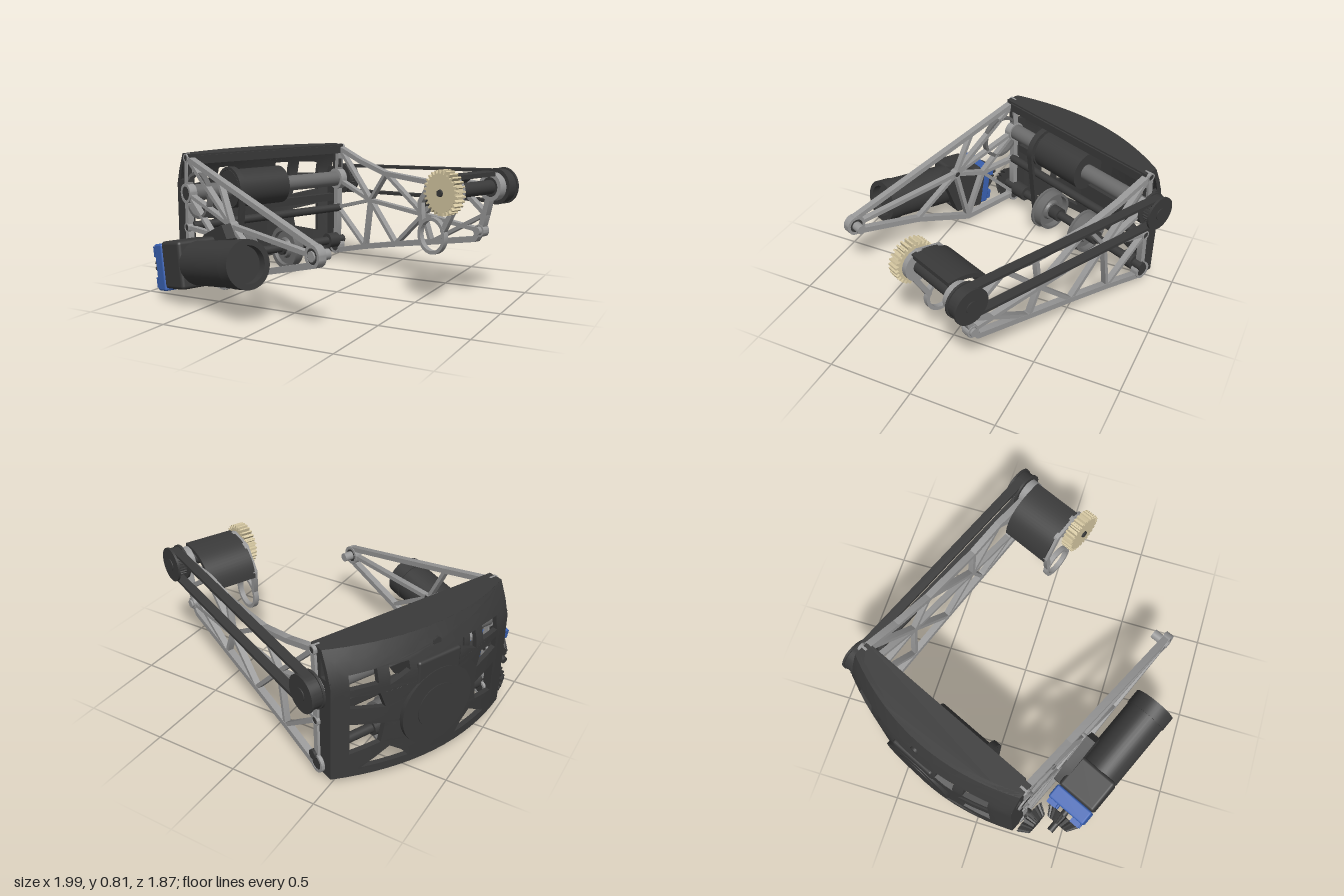
import * as THREE from 'three';
import { toCreasedNormals } from 'three/addons/utils/BufferGeometryUtils.js';
import { RoundedBoxGeometry } from 'three/addons/geometries/RoundedBoxGeometry.js';

const paint = (color) => new THREE.MeshStandardMaterial({ color, side: THREE.DoubleSide });
const DARK = paint(0x3a3a3a), MID = paint(0x6c6c6c), GREY = paint(0x999999), GOLD = paint(0xd6c8a2), BLUE = paint(0x3a62b4);
const V2 = (p) => new THREE.Vector2(p[0], p[1]);

function add(parent, name, geo, mat, x = 0, y = 0, z = 0) {
  const mesh = new THREE.Mesh(geo, mat);
  mesh.name = name;
  mesh.position.set(x, y, z);
  parent.add(mesh);
  return mesh;
}
const box = (parent, name, mat, w, h, d, x, y, z) => add(parent, name, new THREE.BoxGeometry(w, h, d), mat, x, y, z);

// Cylinder lying along z from z0 to z1
function rod(parent, name, mat, r, x, y, z0, z1, sides = 32) {
  const geo = new THREE.CylinderGeometry(r, r, Math.abs(z1 - z0), sides).rotateX(Math.PI / 2);
  return add(parent, name, geo, mat, x, y, (z0 + z1) / 2);
}
const extrude = (shape, depth) => toCreasedNormals(
  new THREE.ExtrudeGeometry(shape, { depth, curveSegments: 20, bevelEnabled: false }), 0.6);

// Flat ring about z
function ring(parent, name, mat, R, r, x, y, z, depth) {
  const s = new THREE.Shape().absarc(0, 0, R, 0, Math.PI * 2);
  s.holes.push(new THREE.Path().absarc(0, 0, r, 0, Math.PI * 2));
  return add(parent, name, extrude(s, depth), mat, x, y, z);
}
// Long round-ended outline around two points
function stadium(Type, a, b, ra, rb = ra) {
  const t = Math.atan2(b[1] - a[1], b[0] - a[0]);
  const k = Math.acos((ra - rb) / Math.hypot(b[0] - a[0], b[1] - a[1]));
  const s = new Type();
  s.absarc(a[0], a[1], ra, t + k, t - k + Math.PI * 2);
  s.absarc(b[0], b[1], rb, t - k, t + k);
  s.closePath();
  return s;
}
function belt(parent, name, a, b, ra, rb, z, depth) {
  const s = stadium(THREE.Shape, a, b, ra, rb);
  s.holes.push(stadium(THREE.Path, a, b, ra - 0.018, rb - 0.018));
  add(parent, name, extrude(s, depth), DARK, 0, 0, z);
}
function gear(teeth, R, root, bore, depth, taper = 0) {
  const pts = [];
  for (let i = 0; i < teeth; i++) {
    [[0, root], [0.28, root], [0.4, R], [0.75, R], [0.9, root]].forEach(([f, r]) => {
      const a = ((i + f) / teeth) * Math.PI * 2;
      pts.push(new THREE.Vector2(Math.cos(a) * r, Math.sin(a) * r));
    });
  }
  const s = new THREE.Shape(pts);
  s.holes.push(new THREE.Path().absarc(0, 0, bore, 0, Math.PI * 2));
  const geo = new THREE.ExtrudeGeometry(s, { depth, bevelEnabled: false, curveSegments: 20 });
  const p = geo.attributes.position;
  for (let i = 0; i < p.count; i++) {
    const k = 1 - (taper * p.getZ(i)) / depth;
    p.setXY(i, p.getX(i) * k, p.getY(i) * k);
  }
  geo.computeVertexNormals();
  return geo;
}

// Open side plate: struts between named nodes, with bosses at the pivots
function truss(parent, name, z, nodes, struts, bosses) {
  const g = new THREE.Group();
  g.name = name;
  parent.add(g);
  struts.forEach(([path, w]) => {
    for (let i = 0; i + 1 < path.length; i++) {
      const s = stadium(THREE.Shape, nodes[path[i]], nodes[path[i + 1]], w / 2);
      const d = w > 0.027 ? 0.04 : 0.036;
      add(g, 'strut', extrude(s, d), GREY, 0, 0, z - d / 2);
    }
  });
  bosses.forEach(([n, R]) => {
    ring(g, 'boss', GREY, R, R * 0.7, nodes[n][0], nodes[n][1], z - 0.024, 0.048);
    rod(g, 'bearing', DARK, R * 0.7, nodes[n][0], nodes[n][1], z - 0.021, z + 0.021);
  });
}

// Cuts long edges so that a flat sheet can bend smoothly
function subdivide(geo, limit) {
  const p = geo.toNonIndexed().attributes.position, out = [];
  const split = (a, b, c) => {
    const d = [a.distanceTo(b), b.distanceTo(c), c.distanceTo(a)];
    const m = Math.max(...d);
    if (m < limit) { out.push(a, b, c); return; }
    if (m === d[1]) [a, b, c] = [b, c, a];
    else if (m === d[2]) [a, b, c] = [c, a, b];
    const mid = a.clone().add(b).multiplyScalar(0.5);
    split(a, mid, c);
    split(mid, b, c);
  };
  const at = (i) => new THREE.Vector3().fromBufferAttribute(p, i);
  for (let i = 0; i < p.count; i += 3) split(at(i), at(i + 1), at(i + 2));
  return new THREE.BufferGeometry().setFromPoints(out);
}
const Z0 = -0.57, Z1 = 0.605;
const bow = (z, y) => -0.942 + 0.13 * ((z - 0.018) / 0.59) ** 2 + Math.max(0, (y - 0.62) / 0.19) ** 1.3 * 0.075;

function addCover(parent) {
  const g = new THREE.Group();
  g.name = 'rearCover';
  parent.add(g);
  // Bowed wall with mirrored windows
  const wall = new THREE.Shape([[Z0, 0.05], [Z1, 0.05], [Z1, 0.81], [Z0, 0.81]].map(V2));
  const windows = [
    [[0.34, 0.61], [0.48, 0.6], [0.48, 0.68], [0.34, 0.69]],
    [[0.17, 0.64], [0.28, 0.59], [0.28, 0.69], [0.17, 0.69]],
    [[0.3, 0.46], [0.48, 0.49], [0.48, 0.56], [0.33, 0.55]],
    [[0.32, 0.24], [0.48, 0.2], [0.48, 0.39], [0.3, 0.36]],
    [[0.16, 0.1], [0.42, 0.1], [0.27, 0.2], [0.2, 0.15]],
  ];
  [1, -1].forEach((m) => windows.forEach((w) => wall.holes.push(new THREE.Path(w.map(([z, y]) => new THREE.Vector2(z * m, y))))));
  const geo = subdivide(new THREE.ExtrudeGeometry(wall, { depth: 0.03, bevelEnabled: false }), 0.1);
  const p = geo.attributes.position;
  for (let i = 0; i < p.count; i++) {
    const z = p.getX(i), y = p.getY(i);
    p.setXYZ(i, bow(z, y) + 0.03 - p.getZ(i), y, z);
  }
  add(g, 'bowedWall', toCreasedNormals(geo, 0.6), DARK);
  // Lid
  const pts = [[-0.65, Z0], [-0.65, Z1]];
  for (let i = 0; i <= 24; i++) {
    const z = Z1 + ((Z0 - Z1) * i) / 24;
    pts.push([bow(z, 0.81), z]);
  }
  add(g, 'lid', extrude(new THREE.Shape(pts.map(V2)), 0.025).rotateX(Math.PI / 2), DARK, 0, 0.81, 0);
  box(g, 'lidRail', DARK, 0.03, 0.05, 1.1, -0.655, 0.775, 0.01);
  // End cheeks
  [Z0 + 0.012, Z1 - 0.012].forEach((z) => {
    box(g, 'cheek', DARK, 0.11, 0.6, 0.024, -0.752, 0.35, z);
    box(g, 'cheekTop', DARK, 0.06, 0.15, 0.024, -0.7, 0.725, z);
  });
  // Round hub, hatch and keyhole, almost flush with the outside
  const disc = (name, R, t, y, z, x) => add(g, name, new THREE.CylinderGeometry(R, R, t, 48).rotateZ(Math.PI / 2), DARK, x, y, z);
  disc('hub', 0.23, 0.04, 0.36, 0.01, -0.926);
  disc('hubCap', 0.13, 0.04, 0.36, 0.01, -0.93);
  add(g, 'hatch', new RoundedBoxGeometry(0.04, 0.14, 0.28, 3, 0.015), DARK, -0.922, 0.6, 0.01);
  disc('keyhole', 0.025, 0.02, 0.73, 0.01, -0.899);
}

export function createModel() {
  const model = new THREE.Group();
  const body = new THREE.Group();
  body.name = 'intakeArm';
  body.rotation.y = (-24 * Math.PI) / 180;
  model.add(body);
  addCover(body);

  // Side plates
  truss(body, 'frontPlate', 0.59, {
    a: [-0.69, 0.785], b: [-0.7, 0.57], c: [-0.7, 0.36], f: [-0.7, 0.08], e: [-0.29, 0.07],
    d: [-0.2, 0.44], t: [0.57, 0.4], u: [0.57, 0.445], l: [0.57, 0.355], h: [-0.42, 0.36], k: [-0.33, 0.686], m: [0.12, 0.235],
  }, [
    [['a', 'b', 'c', 'f', 'e', 'm', 'l'], 0.034], [['a', 'k', 'u'], 0.03],
    [['a', 'd', 't'], 0.026], [['b', 'd', 'm'], 0.022], [['c', 'h', 'd'], 0.026], [['h', 'e', 'd'], 0.026],
    [['f', 'h'], 0.022], [['k', 'd'], 0.022], [['b', 'h'], 0.022],
  ], [['b', 0.06], ['t', 0.06], ['c', 0.028], ['f', 0.05], ['a', 0.026], ['d', 0.026]]);
  ring(body, 'frontBearingRing', MID, 0.14, 0.122, -0.58, 0.57, 0.572, 0.034);

  truss(body, 'backPlate', -0.565, {
    a: [-0.68, 0.785], p: [-0.7, 0.57], q: [-0.7, 0.37], f: [-0.71, 0.1], g: [-0.68, 0.07],
    b: [-0.45, 0.71], c: [-0.2, 0.65], d: [0.18, 0.635], e: [0.4, 0.67], s: [0.69, 0.66],
    r: [0.65, 0.5], v: [0.62, 0.4], w: [0.58, 0.345], m: [-0.1, 0.205], n: [0.22, 0.27], o: [-0.4, 0.14], x: [-0.35, 0.46], y: [0.15, 0.43],
  }, [
    [['a', 'p', 'q', 'f', 'g', 'o', 'm', 'n', 'w', 'v', 'r', 's'], 0.034], [['a', 'b', 'c', 'd', 'e', 's'], 0.03],
    [['p', 'x', 'y', 'v'], 0.024], [['a', 'x', 'm', 'y', 'e'], 0.024], [['q', 'x'], 0.022], [['q', 'o', 'x', 'c', 'y', 'd'], 0.022],
    [['y', 'n', 'r'], 0.022], [['e', 'r'], 0.026],
  ], [['p', 0.07], ['s', 0.08], ['v', 0.036], ['f', 0.055], ['a', 0.026], ['q', 0.028]]);

  // Long drive belt with its two pulleys
  const low = [-0.7, 0.57], high = [0.69, 0.66];
  belt(body, 'driveBelt', low, high, 0.095, 0.095, -0.655, 0.055);
  [low, high].forEach(([x, y]) => {
    add(body, 'pulley', gear(24, 0.078, 0.07, 0.02, 0.06), DARK, x, y, -0.66);
    [-0.668, -0.602].forEach((z) => rod(body, 'pulleyFlange', DARK, 0.103, x, y, z, z + 0.013, 40));
    rod(body, 'pulleyHub', DARK, 0.035, x, y, -0.673, -0.58);
  });

  // Upper shaft, toothed wheel and curved guard
  rod(body, 'upperShaft', DARK, 0.04, 0.69, 0.66, -0.6, -0.22);
  rod(body, 'shaftTip', DARK, 0.02, 0.69, 0.66, -0.22, -0.14, 6);
  add(body, 'toothedWheel', gear(28, 0.125, 0.105, 0.02, 0.065), GOLD, 0.69, 0.66, -0.215);
  const guard = new THREE.Shape().moveTo(0.73, 0.75);
  guard.bezierCurveTo(0.6, 0.76, 0.46, 0.72, 0.44, 0.55);
  guard.lineTo(0.465, 0.55);
  guard.bezierCurveTo(0.48, 0.69, 0.6, 0.735, 0.73, 0.725);
  add(body, 'guard', extrude(guard, 0.3), DARK, 0, 0, -0.54);
  ring(body, 'bracketRing', GREY, 0.105, 0.085, 0.555, 0.4, -0.25, 0.03);
  const arm = (a, b) => add(body, 'bracketArm', extrude(stadium(THREE.Shape, a, b, 0.015), 0.028), GREY, 0, 0, -0.25);
  [[[0.47, 0.45], [0.46, 0.58]], [[0.46, 0.58], [0.55, 0.71]], [[0.55, 0.71], [0.69, 0.74]], [[0.64, 0.44], [0.73, 0.6]]].forEach(([a, b]) => arm(a, b));
  ring(body, 'bracketBearing', GREY, 0.09, 0.04, 0.69, 0.66, -0.25, 0.03);

  // Pivot pins
  rod(body, 'frontPivotPin', GREY, 0.028, 0.57, 0.4, 0.51, 0.62);
  rod(body, 'backPivotPin', GREY, 0.024, 0.62, 0.4, -0.6, -0.52);

  // Cross shafts between the plates
  rod(body, 'lowerAxle', DARK, 0.028, -0.69, 0.145, -0.6, 0.68);
  rod(body, 'crossBar', DARK, 0.026, -0.68, 0.37, -0.56, 0.58);
  box(body, 'innerBeam', DARK, 0.04, 0.05, 1.1, -0.74, 0.44, 0.01);
  rod(body, 'upperTube', MID, 0.05, -0.7, 0.57, -0.56, -0.08);
  rod(body, 'upperSpacer', MID, 0.05, -0.7, 0.57, 0.3, 0.58);
  rod(body, 'motorDrum', DARK, 0.12, -0.71, 0.57, -0.08, 0.27, 40);
  belt(body, 'innerBelt', [-0.7, 0.57], [-0.69, 0.145], 0.14, 0.07, 0.27, 0.04);
  rod(body, 'innerPulley', DARK, 0.12, -0.7, 0.57, 0.27, 0.31, 40);
  [[-0.54, -0.46], [0.44, 0.54]].forEach(([a, b]) => rod(body, 'axleCollar', DARK, 0.05, -0.69, 0.145, a, b));

  // Cupped wheels on the lower axle
  const cup = [[0.03, -0.02], [0.06, -0.02], [0.07, 0], [0.108, 0], [0.112, -0.035], [0.128, -0.035], [0.13, 0.025], [0.142, 0.028], [0.142, 0.04], [0.112, 0.04], [0.108, 0.018], [0.07, 0.018], [0.06, 0.04], [0.03, 0.04]];
  [0.2, -0.13].forEach((z) => {
    const geo = toCreasedNormals(new THREE.LatheGeometry(cup.map(V2), 40).rotateX(Math.PI / 2), 0.5);
    add(body, 'cuppedWheel', geo, MID, -0.69, 0.143, z);
    rod(body, 'wheelSleeve', DARK, 0.045, -0.69, 0.143, z - 0.09, z + 0.06);
  });

  // Tilted front motor with gearbox
  const motor = new THREE.Group();
  motor.name = 'frontMotor';
  motor.position.set(-0.25, 0.245, 0.78);
  motor.rotation.z = 0.16;
  body.add(motor);
  const can = (name, r, x0, x1) => add(motor, name, new THREE.CylinderGeometry(r, r, x1 - x0, 40).rotateZ(Math.PI / 2), DARK, (x0 + x1) / 2);
  can('motorCan', 0.126, 0, 0.46);
  can('motorShaft', 0.02, -0.44, 0);
  ring(motor, 'motorCap', DARK, 0.131, 0.1, 0.42, 0, 0, 0.09).rotation.y = Math.PI / 2;
  add(motor, 'gearbox', new RoundedBoxGeometry(0.21, 0.27, 0.25, 3, 0.02), DARK, -0.1, 0, 0);
  const mount = new THREE.Shape([[-0.2, -0.13], [0, -0.13], [0.14, 0.12], [0.1, 0.2], [-0.1, 0.15], [-0.2, 0.1]].map(V2));
  add(motor, 'mountPlate', extrude(mount, 0.06), DARK, 0, 0, -0.165);
  add(motor, 'blueHousing', new RoundedBoxGeometry(0.09, 0.27, 0.25, 2, 0.012), BLUE, -0.25, -0.015, 0);
  [-1, 1].forEach((m) => [-1, 1].forEach((n) => box(motor, 'blueLug', BLUE, 0.04, 0.06, 0.06, -0.305, m * 0.09 - 0.015, n * 0.085)));
  // Bevel gear pair
  add(motor, 'motorBevel', gear(18, 0.11, 0.09, 0.02, 0.06, 0.35).rotateY(-Math.PI / 2), DARK, -0.325, -0.01, 0.005);
  add(body, 'axleBevel', gear(18, 0.11, 0.09, 0.02, 0.06, 0.35), DARK, -0.7, 0.145, 0.635);
  return model;
}
